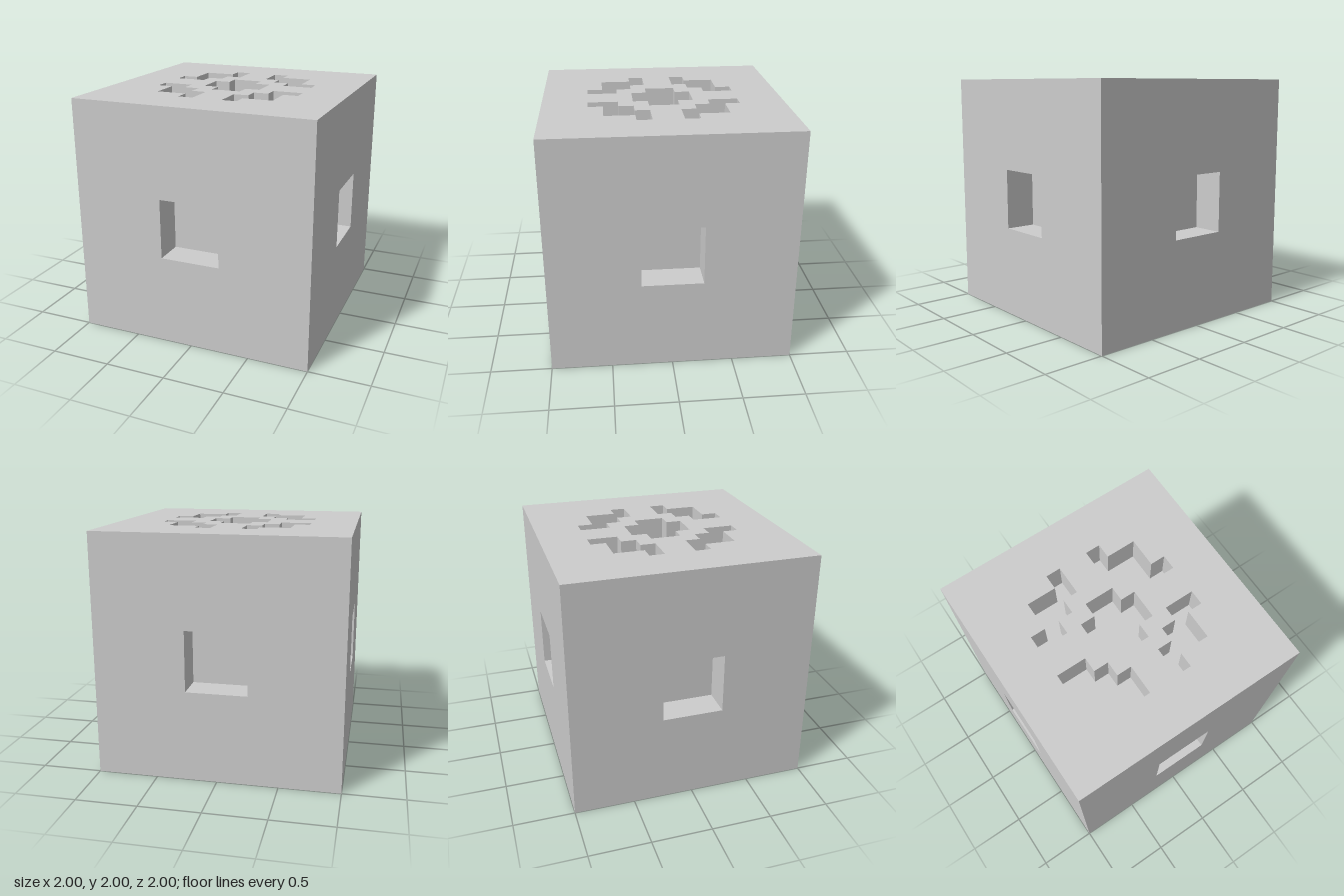
import * as THREE from 'three';

const DEPTH = 0.25; // every pocket is sunk by the same amount
const grey = new THREE.MeshStandardMaterial({ color: 0xcccccc });
grey.name = 'plain grey';

const toPoints = (list, sx = 1, sy = 1) => {
  const pts = list.map(([x, y]) => new THREE.Vector2(x * sx, y * sy));
  return THREE.ShapeUtils.isClockWise(pts) ? pts.reverse() : pts;
};

const square = (h) => toPoints([[-h, -h], [h, -h], [h, h], [-h, h]]);

// Inward-facing side walls of a pocket with a counter-clockwise outline
function wallGeometry(pts) {
  const pos = [];
  pts.forEach((a, i) => {
    const b = pts[(i + 1) % pts.length];
    const lo = 1 - DEPTH;
    pos.push(a.x, a.y, 1, b.x, b.y, 1, b.x, b.y, lo);
    pos.push(a.x, a.y, 1, b.x, b.y, lo, a.x, a.y, lo);
  });
  const geo = new THREE.BufferGeometry();
  geo.setAttribute('position', new THREE.Float32BufferAttribute(pos, 3));
  geo.computeVertexNormals();
  return geo;
}

// One cube side, facing +z at z = 1, with sunken pockets
function makeSide(name, pockets) {
  const side = new THREE.Group();
  side.name = name;
  const add = (part, geo) => {
    const mesh = new THREE.Mesh(geo, grey);
    mesh.name = part;
    side.add(mesh);
  };
  const face = new THREE.Shape(square(1));
  face.holes = pockets.map((pts) => new THREE.Path(pts));
  add('face', new THREE.ShapeGeometry(face).translate(0, 0, 1));
  pockets.forEach((pts) => {
    add('pocketWalls', wallGeometry(pts));
    add('pocketFloor', new THREE.ShapeGeometry(new THREE.Shape(pts)).translate(0, 0, 1 - DEPTH));
  });
  return side;
}

export function createModel() {
  const model = new THREE.Group();
  model.name = 'cube';
  const cube = new THREE.Group();
  cube.name = 'cubeSides';
  cube.position.y = 1;
  model.add(cube);

  // Four upright sides, each with a square pocket
  ['frontSide', 'leftSide', 'backSide', 'rightSide'].forEach((name, i) => {
    const side = makeSide(name, [square(0.25)]);
    side.rotation.y = i * Math.PI / 2;
    cube.add(side);
  });

  // Top: a central cross and four mirrored stepped corner pockets
  const a = 0.125, b = 0.25, c = 0.375, d = 0.5, e = 0.625;
  const cross = [
    [a, -b], [a, -a], [b, -a], [b, a], [a, a], [a, b],
    [-a, b], [-a, a], [-b, a], [-b, -a], [-a, -a], [-a, -b],
  ];
  const corner = [
    [e, a], [e, b], [d, b], [d, d], [b, d], [b, e],
    [a, e], [a, c], [b, c], [b, b], [c, b], [c, a],
  ];
  const pockets = [toPoints(cross)];
  for (const sx of [-1, 1]) for (const sy of [-1, 1]) pockets.push(toPoints(corner, sx, sy));
  const top = makeSide('topSide', pockets);
  top.rotation.x = -Math.PI / 2;
  cube.add(top);

  // Plain underside
  const bottom = makeSide('bottomSide', []);
  bottom.rotation.x = Math.PI / 2;
  cube.add(bottom);

  return model;
}
